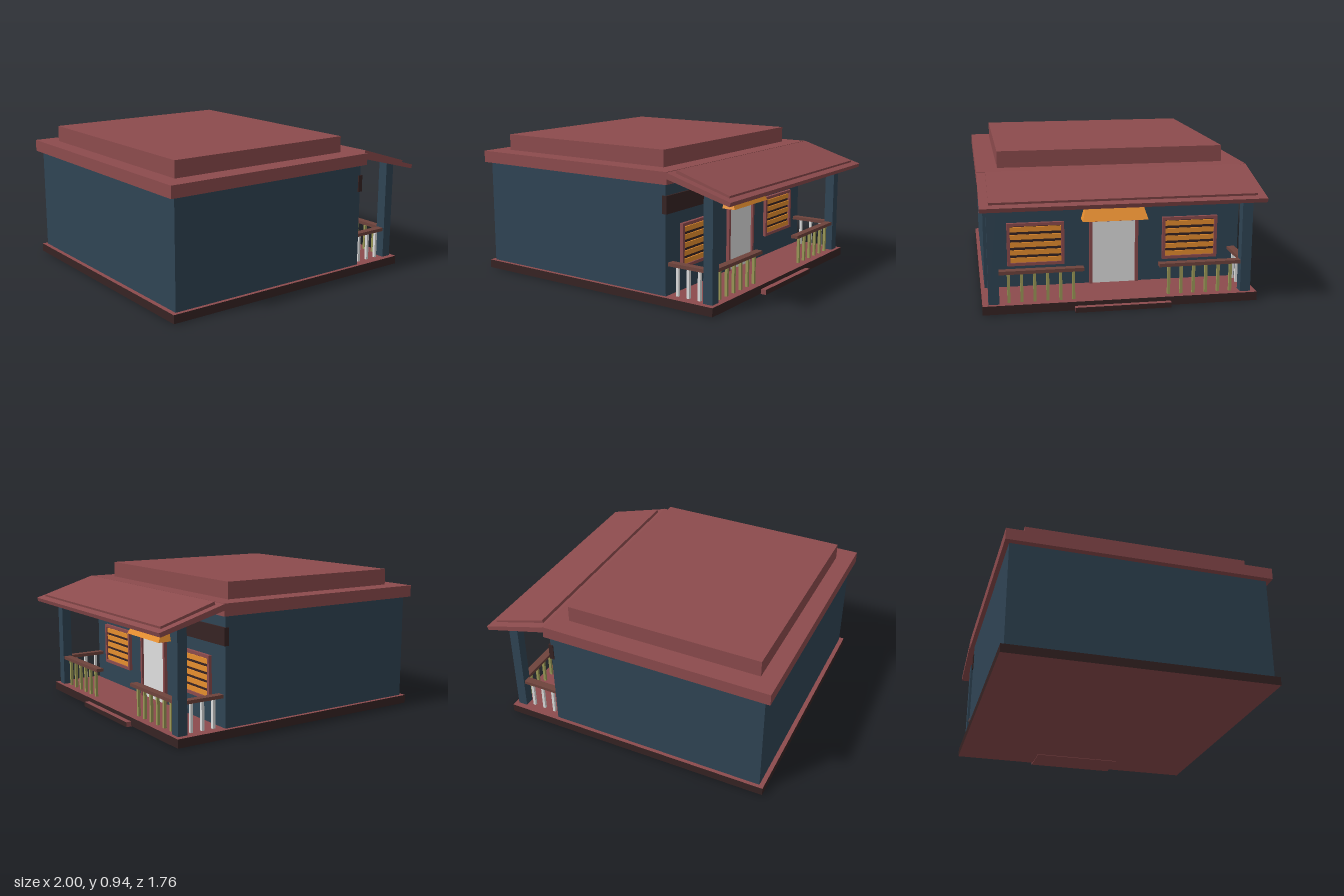
import * as THREE from 'three';
import { ConvexGeometry } from 'three/addons/geometries/ConvexGeometry.js';

const mat = (name, color) => {
  const m = new THREE.MeshStandardMaterial({ color });
  m.name = name;
  return m;
};

export function createModel() {
  const red = mat('roof red', 0x8c4b4d);
  const blue = mat('wall blue', 0x2f4454);
  const dark = mat('dark brown', 0x362323);
  const orange = mat('orange', 0xe68e2e);
  const white = mat('pale grey', 0xdedede);
  const olive = mat('olive', 0x9a9856);
  const wood = mat('rail brown', 0x6e433c);

  const model = new THREE.Group();
  model.name = 'house';

  // Box from its limits on each axis
  const box = (name, material, [x0, x1], [y0, y1], [z0, z1], parent = model) => {
    const mesh = new THREE.Mesh(new THREE.BoxGeometry(x1 - x0, y1 - y0, z1 - z0), material);
    mesh.position.set((x0 + x1) / 2, (y0 + y1) / 2, (z0 + z1) / 2);
    mesh.name = name;
    parent.add(mesh);
    return mesh;
  };
  // Side profile in x, y pushed along z
  const slab = (name, material, points, halfWidth) => {
    const shape = new THREE.Shape(points.map(([x, y]) => new THREE.Vector2(x, y)));
    const geo = new THREE.ExtrudeGeometry(shape, { depth: halfWidth * 2, bevelEnabled: false });
    geo.translate(0, 0, -halfWidth);
    const mesh = new THREE.Mesh(geo, material);
    mesh.name = name;
    model.add(mesh);
  };
  // Rectangular frame standing on the front wall
  const frame = (name, [z0, z1], [y0, y1], border, parent, sill = true) => {
    const x = [0.52, 0.547];
    box(name + 'Top', red, x, [y1 - border, y1], [z0, z1], parent);
    if (sill) box(name + 'Sill', red, x, [y0, y0 + border], [z0, z1], parent);
    const low = sill ? y0 + border : y0;
    box(name + 'SideA', red, x, [low, y1 - border], [z0, z0 + border], parent);
    box(name + 'SideB', red, x, [low, y1 - border], [z1 - border, z1], parent);
  };

  // Base with dark edges and a red floor; entrance step
  box('base', [dark, dark, red, red, dark, dark], [-0.99, 0.88], [0.004, 0.06], [-0.875, 0.875]);
  box('step', [dark, red, red, red, red, red], [0.67, 0.915], [0, 0.033], [-0.305, 0.305]);

  // Main body and stacked flat roof
  box('walls', blue, [-0.96, 0.525], [0.06, 0.757], [-0.85, 0.85]);
  box('roofSlab', red, [-1, 0.553], [0.757, 0.835], [-0.88, 0.88]);
  box('roofBlock', red, [-0.885, 0.435], [0.835, 0.943], [-0.745, 0.745]);
  box('wallBeam', dark, [0.505, 0.537], [0.573, 0.685], [-0.857, 0.857]);

  // Sloping porch roof in two layers
  slab('porchRoof', red, [[0.545, 0.795], [0.992, 0.677], [1, 0.703], [0.55, 0.833]], 0.88);
  slab('porchRoofPanel', red, [[0.58, 0.815], [0.955, 0.705], [0.96, 0.729], [0.588, 0.843]], 0.825);

  // Door, frame and awning
  const door = new THREE.Group();
  door.name = 'door';
  model.add(door);
  box('doorPanel', white, [0.524, 0.532], [0.06, 0.49], [-0.143, 0.143], door);
  frame('doorFrame', [-0.163, 0.163], [0.06, 0.5], 0.02, door, false);
  const corners = [];
  for (const s of [-1, 1]) {
    corners.push(
      new THREE.Vector3(0.525, 0.605, s * 0.185), new THREE.Vector3(0.565, 0.605, s * 0.185),
      new THREE.Vector3(0.525, 0.5, s * 0.215), new THREE.Vector3(0.62, 0.5, s * 0.215));
  }
  const awning = new THREE.Mesh(new ConvexGeometry(corners), orange);
  awning.name = 'awning';
  model.add(awning);

  // Mirrored parts on both sides of the door
  for (const s of [-1, 1]) {
    const span = (a, b) => (s > 0 ? [a, b] : [-b, -a]);

    box('porchPost', blue, [0.79, 0.855], [0.06, 0.74], span(0.77, 0.837));

    // Slatted window
    const win = new THREE.Group();
    win.name = 'window';
    model.add(win);
    box('windowBack', dark, [0.522, 0.528], [0.22, 0.48], span(0.34, 0.69), win);
    frame('windowFrame', span(0.327, 0.7), [0.205, 0.49], 0.02, win);
    for (let i = 0; i < 5; i++) {
      const y = 0.446 - i * 0.0515;
      box('slat', orange, [0.528, 0.537], [y - 0.016, y + 0.016], span(0.345, 0.682), win);
    }

    // Front and side railings
    const rail = new THREE.Group();
    rail.name = 'railing';
    model.add(rail);
    box('frontHandrail', wood, [0.798, 0.848], [0.246, 0.268], span(0.24, 0.77), rail);
    for (let i = 0; i < 6; i++) {
      const z = 0.71 - i * 0.081;
      box('frontBaluster', olive, [0.814, 0.832], [0.06, 0.246], span(z - 0.009, z + 0.009), rail);
    }
    box('sideHandrail', wood, [0.525, 0.79], [0.246, 0.268], span(0.778, 0.828), rail);
    for (let i = 0; i < 3; i++) {
      const x = 0.583 + i * 0.08;
      box('sideBaluster', white, [x - 0.009, x + 0.009], [0.06, 0.246], span(0.794, 0.812), rail);
    }
  }
  return model;
}
